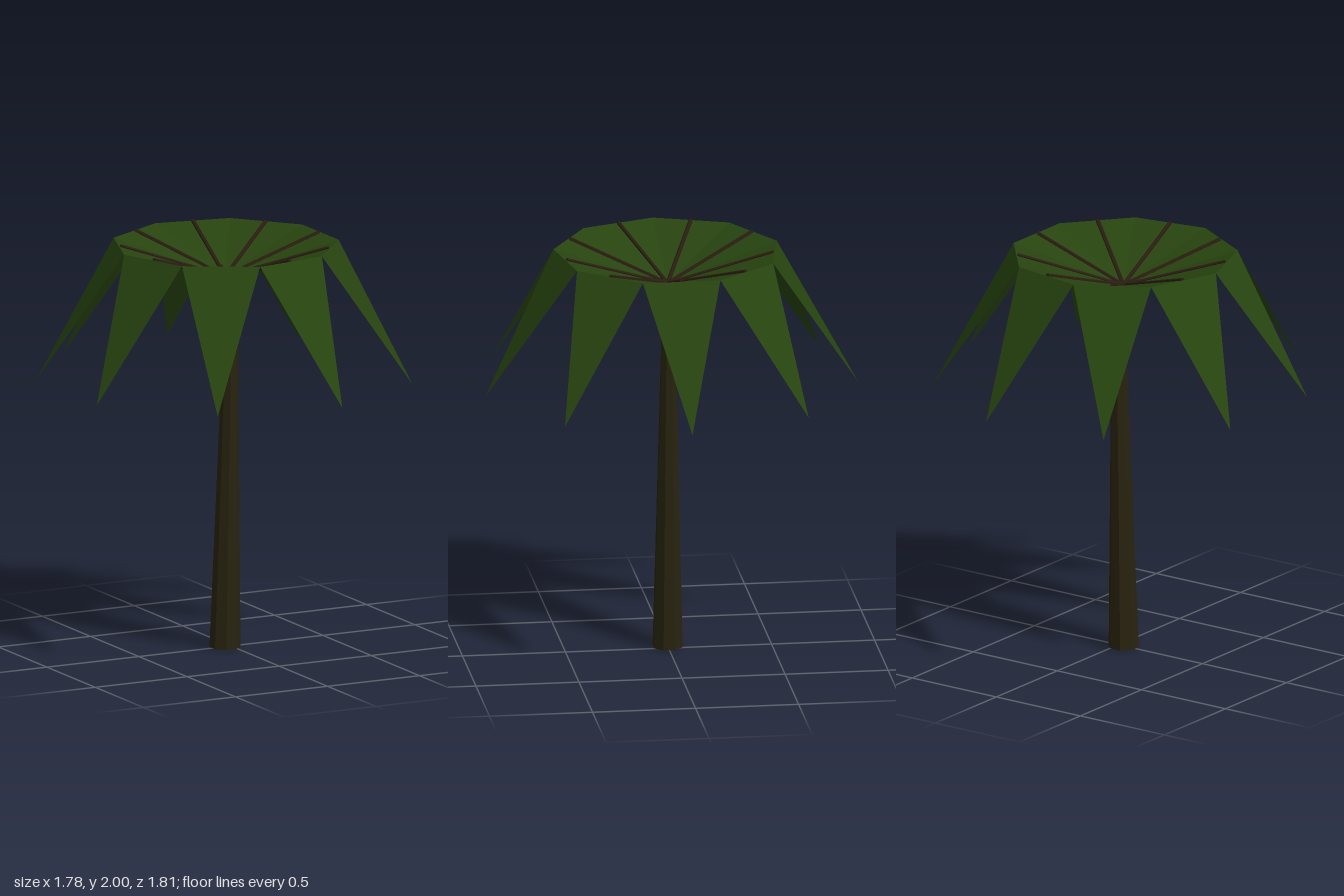
import * as THREE from 'three';

const FRONDS = 9;
const CROWN_X = -0.03;
const HUB_Y = 1.825, RIM_Y = 1.99, TIP_Y = 1.34;
const NOTCH_R = 0.55, TIP_R = 0.92, RIB_R = 0.51;

// Point on a circle around the crown axis
function polar(radius, angle, y) {
  return new THREE.Vector3(Math.cos(angle) * radius, y, -Math.sin(angle) * radius);
}

export function createModel() {
  const leafMat = new THREE.MeshStandardMaterial({ color: 0x27440f, side: THREE.DoubleSide, flatShading: true });
  leafMat.name = 'leafGreen';
  const barkMat = new THREE.MeshStandardMaterial({ color: 0x28230f, flatShading: true });
  barkMat.name = 'barkBrown';
  const ribMat = new THREE.MeshStandardMaterial({ color: 0x291c10, flatShading: true });
  ribMat.name = 'ribBrown';

  const model = new THREE.Group();
  model.name = 'palmTree';

  // Tapered trunk, sheared so that its top leans toward +x
  const height = 1.55;
  const trunkGeo = new THREE.CylinderGeometry(0.036, 0.075, height, 8, 1, false, Math.PI / 8);
  trunkGeo.translate(0, height / 2, 0);
  const shear = new THREE.Matrix4().set(
    1, 0.031 / height, 0, -0.032,
    0, 1, 0, 0,
    0, 0, 1, 0,
    0, 0, 0, 1);
  trunkGeo.applyMatrix4(shear);
  const trunk = new THREE.Mesh(trunkGeo, barkMat);
  trunk.name = 'trunk';
  model.add(trunk);

  // Crown: a shallow cup of fronds with drooping tips
  const crown = new THREE.Group();
  crown.name = 'crown';
  crown.position.x = CROWN_X;
  model.add(crown);

  const hub = new THREE.Vector3(0, HUB_Y, 0);
  const step = (Math.PI * 2) / FRONDS;
  for (let i = 0; i < FRONDS; i++) {
    const a = i * step;
    const right = polar(NOTCH_R, a - step / 2, RIM_Y);
    const left = polar(NOTCH_R, a + step / 2, RIM_Y);
    const tip = polar(TIP_R, a, TIP_Y);

    // Frond: inner cup triangle and hanging outer triangle
    const frondGeo = new THREE.BufferGeometry().setFromPoints([hub, right, left, right, tip, left]);
    frondGeo.computeVertexNormals();
    const frond = new THREE.Mesh(frondGeo, leafMat);
    frond.name = 'frond';
    crown.add(frond);

    // Rib along the middle of the cup
    const path = new THREE.LineCurve3(hub, polar(RIB_R, a, RIM_Y));
    const length = path.getLength();
    const rib = new THREE.Mesh(new THREE.CylinderGeometry(0.0105, 0.0105, length, 6), ribMat);
    rib.name = 'rib';
    rib.position.copy(path.getPoint(0.5));
    rib.quaternion.setFromUnitVectors(new THREE.Vector3(0, 1, 0), path.getTangent(0.5));
    crown.add(rib);
  }
  return model;
}
